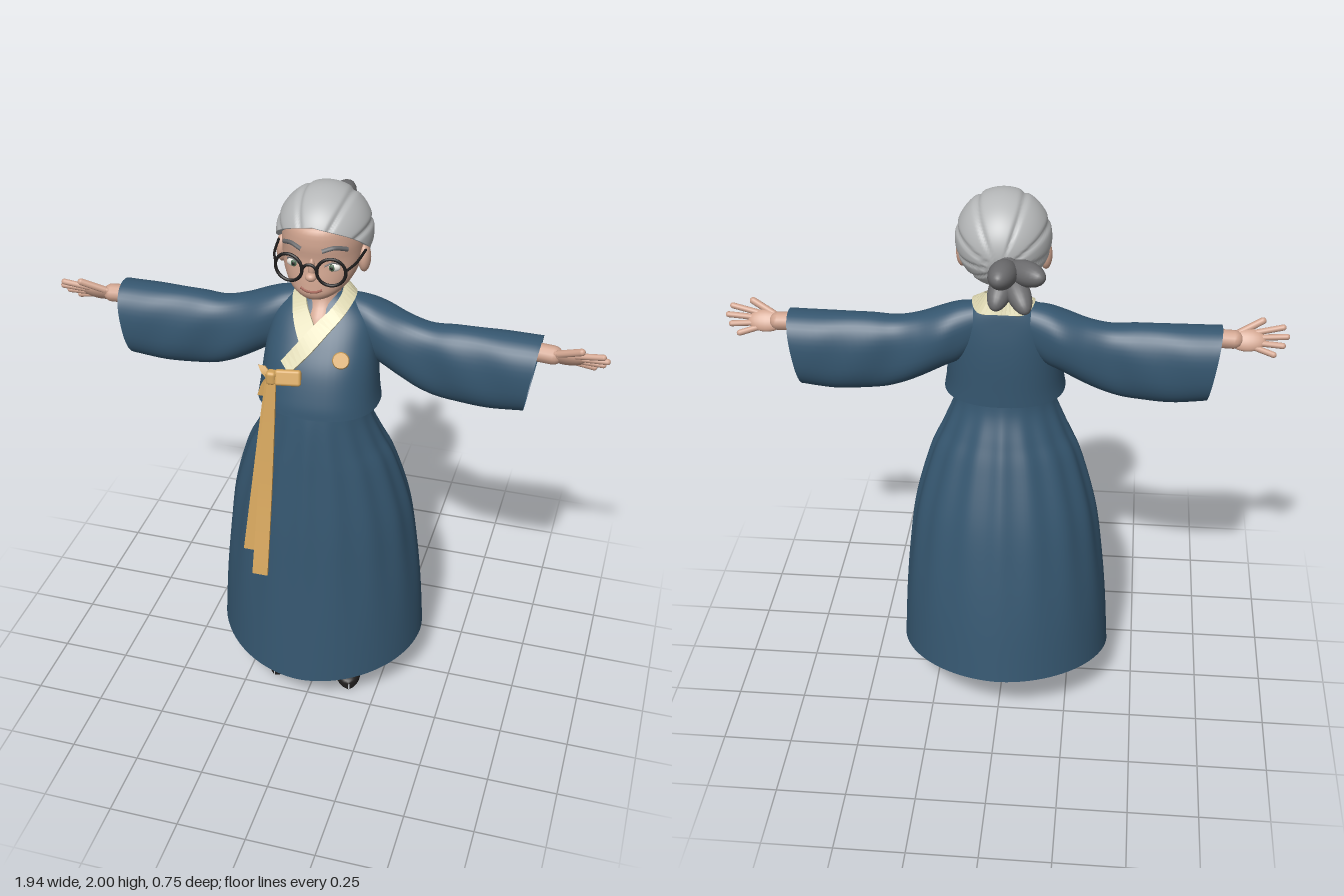
import * as THREE from 'three';
import { mergeVertices } from 'three/addons/utils/BufferGeometryUtils.js';
import { RoundedBoxGeometry } from 'three/addons/geometries/RoundedBoxGeometry.js';

const material = (name, color, double) => {
  const m = new THREE.MeshStandardMaterial({ color });
  m.name = name;
  if (double) m.side = THREE.DoubleSide;
  return m;
};
const V = (x, y, z) => new THREE.Vector3(x, y, z);
const TAU = Math.PI * 2;

// Smooth interpolation through rows of numbers, v from 0 to 1
function at(rows, v) {
  const n = rows.length - 1, i = Math.min(n - 1, Math.floor(v * n)), t = v * n - i;
  const a = rows[Math.max(0, i - 1)], b = rows[i], c = rows[i + 1], d = rows[Math.min(n, i + 2)];
  return b.map((q, k) => q + 0.5 * t * (c[k] - a[k] + t * (2 * a[k] - 5 * q + 4 * c[k] - d[k] + t * (3 * (q - c[k]) + d[k] - a[k]))));
}

// Surface from a rule f(u, v) -> [x, y, z], closed around u
function surface(f, nu, nv, flat) {
  const pos = [], idx = [];
  for (let j = 0; j <= nv; j++) for (let i = 0; i < nu; i++) pos.push(...f(i / nu, j / nv));
  for (let j = 0; j < nv; j++) for (let i = 0; i < nu; i++) {
    const a = j * nu + i, b = j * nu + (i + 1) % nu;
    idx.push(a, b, b + nu, a, b + nu, a + nu);
  }
  let g = new THREE.BufferGeometry();
  g.setAttribute('position', new THREE.Float32BufferAttribute(pos, 3));
  g.setIndex(idx);
  g = flat ? g.toNonIndexed() : mergeVertices(g, 1e-5);
  g.computeVertexNormals();
  return g;
}
const pow = (c, p) => Math.sign(c) * Math.abs(c) ** (2 / p);

// Upright body from rows [y, halfWidth, zFront, zBack]
function body(rows, p = 2, nu = 48, nv = 32) {
  return surface((u, v) => {
    const [y, w, f, b] = at(rows, v), a = u * TAU;
    return [w * pow(Math.sin(a), p), y, (f + b) / 2 + (f - b) / 2 * pow(Math.cos(a), p)];
  }, nu, nv);
}
// Point on the front of such a body
function onFront(rows, p, x, y, off = 0) {
  let best = rows[0];
  for (let i = 0; i <= 300; i++) {
    const r = at(rows, i / 300);
    if (Math.abs(r[0] - y) < Math.abs(best[0] - y)) best = r;
  }
  const [, w, f, b] = best, k = Math.max(0, 1 - Math.abs(x / w) ** p) ** (1 / p);
  return V(x, y, (f + b) / 2 + (f - b) / 2 * k + off);
}
// Thin cloth band between two edge curves
function ribbon(left, right, thick = 0.008, n = 28) {
  const A = new THREE.CatmullRomCurve3(left), B = new THREE.CatmullRomCurve3(right);
  return surface((u, v) => {
    const a = A.getPoint(v), b = B.getPoint(v);
    const nrm = A.getTangent(v).cross(b.clone().sub(a)).normalize().multiplyScalar(thick / 2);
    const k = Math.round(u * 4);
    return (k === 0 || k === 3 ? a : b).clone().addScaledVector(nrm, k < 2 ? 1 : -1).toArray();
  }, 4, n, true);
}
function mirrored(g) {
  const m = g.clone().scale(-1, 1, 1), ix = m.index.array;
  for (let i = 0; i < ix.length; i += 3) [ix[i], ix[i + 1]] = [ix[i + 1], ix[i]];
  m.computeVertexNormals();
  return m;
}

export function createModel() {
  const root = new THREE.Group();
  const skin = material('skin', 0xd0a48f), lip = material('lip', 0xa8695c);
  const hair = material('silver hair', 0xb6b8b9), grey = material('dark grey', 0x6c6c6e);
  const blue = material('blue cloth', 0x35566f, true), cream = material('cream cloth', 0xdcd6b0, true);
  const gold = material('gold cloth', 0xd3a45c, true), black = material('black', 0x1e1c1c);
  const white = material('eye white', 0xe9e6e0), green = material('green iris', 0x4b6a50);

  const add = (name, geo, mat, x = 0, y = 0, z = 0) => {
    const m = new THREE.Mesh(geo, mat);
    m.name = name;
    m.position.set(x, y, z);
    root.add(m);
    return m;
  };
  const blob = (name, mat, p, s, seg = 20) => add(name, new THREE.SphereGeometry(1, seg, Math.ceil(seg * 0.7)).scale(...s), mat, ...p);
  const aim = (m, d) => { m.quaternion.setFromUnitVectors(V(0, 1, 0), d.clone().normalize()); return m; };
  const limb = (name, mat, a, b, r) => {
    const d = b.clone().sub(a), c = a.clone().add(b).multiplyScalar(0.5);
    return aim(add(name, new THREE.CapsuleGeometry(r, d.length(), 5, 12), mat, c.x, c.y, c.z), d);
  };
  const tube = (name, mat, pts, r) => add(name, new THREE.TubeGeometry(new THREE.CatmullRomCurve3(pts), 16, r, 6), mat);

  // Skirt with gathers at the waist and a hem that rises to the back
  const skirtRows = [[0.18, 0.388, 0.325, -0.375], [0.4, 0.375, 0.305, -0.34], [0.6, 0.355, 0.287, -0.3], [0.8, 0.325, 0.27, -0.25],
    [1.0, 0.268, 0.247, -0.18], [1.1, 0.222, 0.235, -0.14], [1.2, 0.18, 0.22, -0.1], [1.29, 0.16, 0.2, -0.085]];
  add('skirt', surface((u, v) => {
    const [y, w, f, b] = at(skirtRows, v), a = u * TAU;
    const k = 1 + 0.03 * Math.cos(16 * a) * Math.sin(Math.PI * Math.min(1, v * 1.1)) * v;
    const z = (f + b) / 2 + (f - b) / 2 * k * pow(Math.cos(a), 1.85);
    return [w * k * pow(Math.sin(a), 1.85) - 0.012 * (1 - v), y - 0.15 * (1 - v) * z, z];
  }, 128, 44), blue);

  // Jacket body
  const coat = [[1.25, 0.213, 0.245, -0.115], [1.3, 0.205, 0.235, -0.115], [1.4, 0.195, 0.2, -0.115], [1.48, 0.185, 0.152, -0.11],
    [1.55, 0.165, 0.1, -0.1], [1.6, 0.11, 0.06, -0.09], [1.625, 0.06, 0.035, -0.075]];
  add('jacket', body(coat, 2.3), blue);

  // Wide sleeves, rows [x, top, bottom, zFront, zBack], with slanted cuffs
  const sleeveRows = [[0.07, 1.61, 1.47, 0.03, -0.08], [0.14, 1.602, 1.4, 0.055, -0.1], [0.2, 1.582, 1.37, 0.065, -0.11], [0.28, 1.552, 1.325, 0.065, -0.1],
    [0.36, 1.535, 1.288, 0.065, -0.09], [0.45, 1.54, 1.265, 0.07, -0.095], [0.6, 1.54, 1.258, 0.08, -0.108], [0.72, 1.54, 1.27, 0.085, -0.108]];
  const sleeve = surface((u, v) => {
    const [x, t, b, f, k] = at(sleeveRows, v), a = u * TAU;
    const y = (t + b) / 2 + (t - b) / 2 * pow(Math.cos(a), 2.4);
    const fold = 1 + 0.05 * Math.sin(x * 30 + y * 22) * Math.sin(Math.PI * v);
    return [x + (y - 1.405) * 0.15 * v, y, (f + k) / 2 + (f - k) / 2 * fold * pow(Math.sin(a), 2.2)];
  }, 40, 40);
  add('leftSleeve', sleeve, blue);
  add('rightSleeve', mirrored(sleeve), blue);

  // Neck and crossed collar
  add('neck', body([[1.48, 0.055, 0.13, -0.07], [1.55, 0.062, 0.106, -0.07], [1.6, 0.056, 0.068, -0.068], [1.66, 0.05, 0.052, -0.06], [1.74, 0.05, 0.05, -0.06]], 2, 28, 16), skin);
  const on = (x, y, off = 0.01) => onFront(coat, 2.3, x, y, off);
  const around = s => [[V(0, 1.665, -0.078), V(s * 0.048, 1.655, -0.055), V(s * 0.064, 1.63, 0)],
    [V(0, 1.6, -0.1), V(s * 0.075, 1.595, -0.085), V(s * 0.105, 1.605, -0.005)]];
  const [li, lo] = around(1), [ri, ro] = around(-1);
  add('underCollar', ribbon([...ri, on(-0.042, 1.595), on(-0.018, 1.56), on(0.01, 1.52)],
    [...ro, on(-0.09, 1.575), on(-0.07, 1.53), on(-0.04, 1.48)], 0.01), cream);
  add('overCollar', ribbon([...li, on(0.045, 1.595, 0.016), on(0, 1.55, 0.016), on(-0.048, 1.495, 0.016), on(-0.1, 1.43, 0.016)],
    [...lo, on(0.088, 1.575, 0.016), on(0.05, 1.53, 0.016), on(0, 1.47, 0.016), on(-0.065, 1.4, 0.016)], 0.01), cream);

  // Round brooch with petals on the chest
  const b = on(0.1, 1.45, 0.004), bn = V(0.25, 0.5, 0.83);
  aim(add('brooch', new THREE.CylinderGeometry(0.026, 0.03, 0.014, 20), gold, b.x, b.y, b.z), bn);

  // Bow and hanging ribbon tails
  add('bowLoop', new RoundedBoxGeometry(0.09, 0.055, 0.026, 3, 0.01), gold, -0.066, 1.392, 0.222).rotation.set(-0.35, 0.1, 0.08);
  add('bowKnot', new RoundedBoxGeometry(0.035, 0.05, 0.036, 3, 0.012), gold, -0.122, 1.388, 0.226);
  const strip = (name, pts) => add(name, ribbon(pts.map(([x, y, z, w]) => V(x - w, y, z)), pts.map(([x, y, z, w]) => V(x + w, y, z)), 0.009), gold);
  strip('longTail', [[-0.118, 1.39, 0.232, 0.014], [-0.126, 1.2, 0.262, 0.022], [-0.13, 0.95, 0.305, 0.025], [-0.134, 0.65, 0.37, 0.028]]);
  strip('shortTail', [[-0.128, 1.39, 0.222, 0.014], [-0.142, 1.2, 0.242, 0.022], [-0.16, 0.95, 0.285, 0.026], [-0.178, 0.72, 0.326, 0.028]]);
  strip('bowStubLow', [[-0.122, 1.39, 0.226, 0.01], [-0.14, 1.36, 0.224, 0.016], [-0.155, 1.31, 0.225, 0.018]]);
  strip('bowStubHigh', [[-0.12, 1.37, 0.222, 0.012], [-0.145, 1.395, 0.215, 0.016], [-0.162, 1.415, 0.205, 0.012]]);

  // Head
  const head = [[1.654, 0.012, 0.125, 0.07], [1.662, 0.052, 0.152, 0.02], [1.685, 0.086, 0.166, -0.02], [1.715, 0.11, 0.165, -0.06], [1.75, 0.126, 0.161, -0.1],
    [1.8, 0.135, 0.155, -0.13], [1.86, 0.135, 0.16, -0.145], [1.92, 0.112, 0.138, -0.125], [1.97, 0.01, 0.01, -0.01]];
  add('head', body(head, 2.1), skin);
  const face = (x, y, off = 0) => onFront(head, 2.1, x, y, off);
  blob('noseBridge', skin, [0, 1.778, 0.157], [0.012, 0.035, 0.014]);
  blob('noseTip', skin, [0, 1.752, 0.168], [0.019, 0.015, 0.018]);
  tube('mouth', lip, [-0.036, -0.015, 0.015, 0.036].map(x => face(x, Math.abs(x) > 0.02 ? 1.706 : 1.698, 0)), 0.0045);

  // Hair swept back from the face, creased into locks
  const rim = [[1.07], [1.3], [1.86], [2.42], [2.7]], creases = [-0.36, 0.45, -1.0, 1.08, -1.55, 1.6, -2.1, 2.15];
  add('hair', surface((u, v) => {
    const phi = u * TAU, th = at(rim, 1 - Math.abs(1 - 2 * u))[0] * (1 - Math.max(0, (v - 0.05) / 0.95));
    const d = V(0.16 * Math.sin(th) * Math.sin(phi), 0.162 * Math.cos(th), 0.177 * Math.sin(th) * Math.cos(phi));
    const psi = Math.atan2(d.x, d.y + 0.04);
    let k = v < 0.04 ? 0.86 : 1;
    for (const c of creases) k -= 0.045 * Math.exp(-(((psi - c) / 0.055) ** 2)) * Math.min(1, Math.hypot(d.x, d.y) / 0.06);
    return [d.x * k, 1.84 + d.y * k, -0.003 + d.z * k];
  }, 144, 48), hair);

  // Bun of loose loops behind the head
  const knot = V(-0.03, 1.81, -0.175);
  [[-0.01, 1.85, -0.36, 0.046], [-0.15, 1.84, -0.31, 0.042], [-0.1, 1.725, -0.325, 0.04], [0.005, 1.725, -0.31, 0.04]].forEach(([x, y, z, r]) => {
    const e = V(x, y, z), d = e.clone().sub(knot), c = e.clone().add(knot).multiplyScalar(0.5);
    aim(blob('bunLoop', grey, c.toArray(), [r, d.length() / 2, r]), d);
  });
  blob('bunKnot', grey, [-0.03, 1.81, -0.2], [0.045, 0.045, 0.04]);

  for (const s of [1, -1]) {
    const side = s > 0 ? 'left' : 'right';
    // Ears, eyes and brows
    blob(side + 'Ear', skin, [s * 0.14, 1.77, 0.02], [0.021, 0.05, 0.03]);
    const e = face(s * 0.066, 1.782);
    blob(side + 'Eye', white, [e.x, e.y, e.z - 0.004], [0.024, 0.015, 0.012]);
    blob(side + 'Iris', green, [e.x - s * 0.002, e.y, e.z + 0.004], [0.011, 0.012, 0.006], 14);
    blob(side + 'Pupil', black, [e.x - s * 0.002, e.y, e.z + 0.008], [0.005, 0.006, 0.004], 10);
    tube(side + 'UpperLid', grey, [0.042, 0.066, 0.09].map((x, i) => face(s * x, i === 1 ? 1.799 : 1.789, 0.005)), 0.003);
    tube(side + 'Brow', grey, [[0.034, 1.842], [0.07, 1.852], [0.106, 1.838]].map(([x, y]) => face(s * x, y, 0.001)), 0.008);
    // Round glasses
    add(side + 'Rim', new THREE.TorusGeometry(0.047, 0.0055, 8, 36), black, s * 0.071, 1.783, 0.178).rotation.y = s * 0.15;
    tube(side + 'Temple', black, [V(s * 0.117, 1.79, 0.17), V(s * 0.137, 1.797, 0.12), V(s * 0.148, 1.806, 0.035)], 0.0045);
    // Wrist, palm, fingers and thumb; the hand is tilted half forward
    const h = (x, k) => V(s * x, 1.49 + 0.78 * k, 0.004 + 0.6 * k);
    limb(side + 'Wrist', skin, V(s * 0.62, 1.5, -0.005), V(s * 0.78, 1.492, 0), 0.032);
    blob(side + 'Palm', skin, [s * 0.825, 1.49, 0.004], [0.064, 0.04, 0.019]).rotation.x = 0.66;
    [0.915, 0.945, 0.958, 0.945].forEach((tip, i) => limb(side + 'Finger', skin, h(0.855, (i - 1.5) * 0.018), h(tip, (i - 1.5) * 0.032), 0.0105));
    limb(side + 'Thumb', skin, h(0.8, 0.025), h(0.875, 0.068), 0.0125);
    // Legs with grey stockings above bare shins
    add(side + 'Shin', new THREE.CylinderGeometry(0.05, 0.034, 0.34, 24), skin, s * 0.087, 0.21, -0.024);
    add(side + 'Stocking', new THREE.CylinderGeometry(0.07, 0.053, 0.5, 24), grey, s * 0.087, 0.6, -0.024);
    // Slip-on shoes turned outward
    const rows = [[-0.082, 0.004, 0.045], [-0.072, 0.03, 0.06], [-0.03, 0.041, 0.06], [0.04, 0.045, 0.052], [0.1, 0.052, 0.06], [0.16, 0.046, 0.054], [0.195, 0.028, 0.042], [0.206, 0.003, 0.03]];
    const shoe = surface((u, v) => {
      const [z, w, t] = at(rows, v), a = u * TAU;
      return [w * pow(Math.cos(a), 2.5), t * (0.5 + 0.5 * pow(Math.sin(a), 2.5)), z];
    }, 28, 24);
    // wound outward: reverse the ring direction
    add(side + 'Shoe', shoe, black, s * 0.085, 0, -0.002).rotation.y = s * 0.32;
    blob(side + 'Instep', skin, [s * 0.098, 0.05, 0.025], [0.036, 0.03, 0.06]).rotation.y = s * 0.32;
  }
  add('glassesBridge', new THREE.TorusGeometry(0.024, 0.005, 8, 16, Math.PI), black, 0, 1.78, 0.184);
  return root;
}
